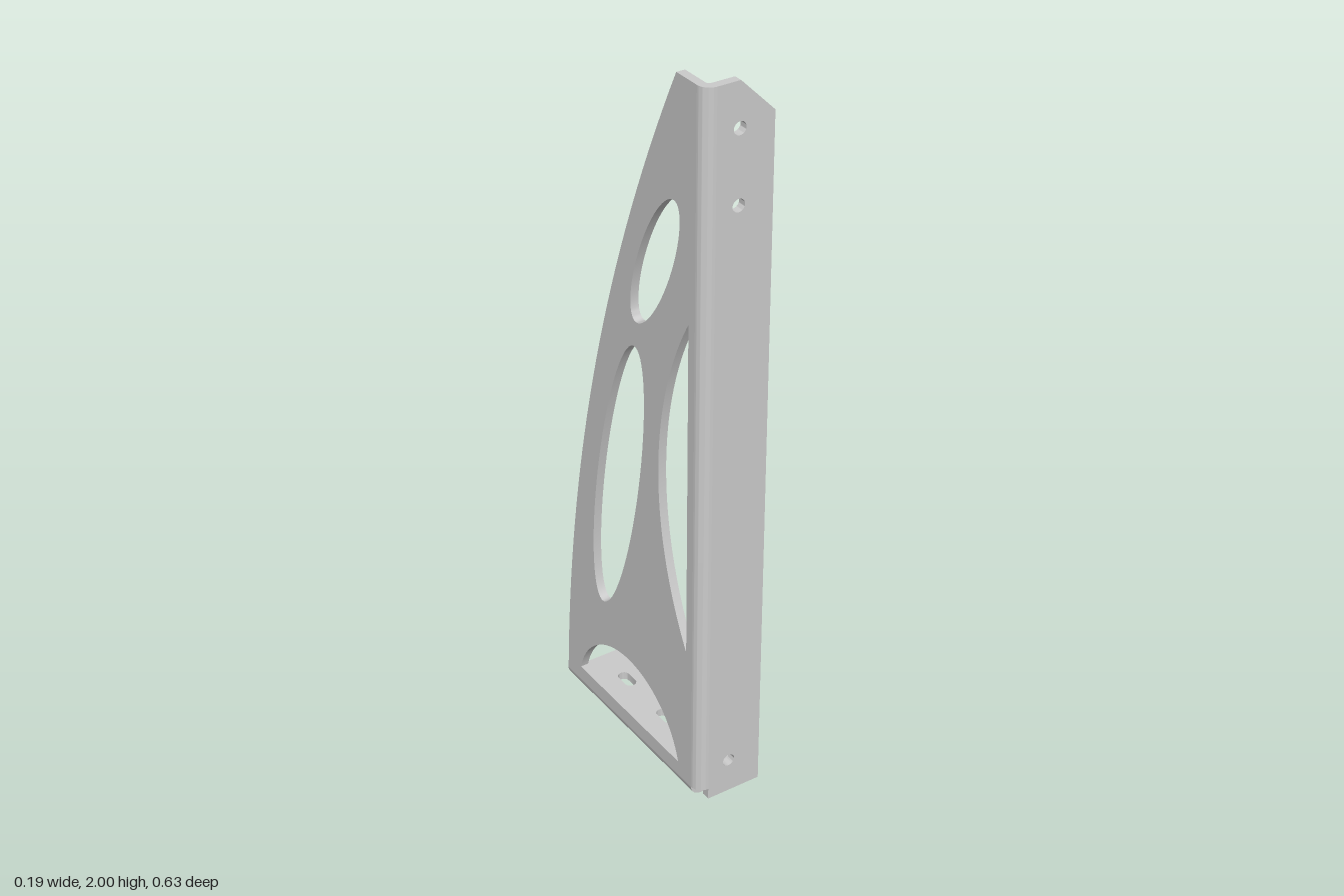
import * as THREE from 'three';
import { toCreasedNormals } from 'three/addons/utils/BufferGeometryUtils.js';

const W = 0.094, D = 0.316, H = 2; // half width, half depth, height
const T = 0.023, R = 0.032;        // sheet thickness, outer bend radius
const GAP = 0.284;                 // z where the front bend starts

const material = new THREE.MeshStandardMaterial({ color: 0xcccccc });

function sheet(name, shape, depth) {
  const raw = new THREE.ExtrudeGeometry(shape, { depth, bevelEnabled: false, curveSegments: 32 });
  const mesh = new THREE.Mesh(toCreasedNormals(raw, 0.5), material);
  mesh.name = name;
  return mesh;
}

function polygon(points) {
  return new THREE.Shape(points.map(([x, y]) => new THREE.Vector2(x, y)));
}

function ellipseHole(x, y, rx, ry, tilt = 0) {
  const p = new THREE.Path();
  p.absellipse(x, y, rx, ry, 0, Math.PI * 2, false, tilt);
  return p;
}

// Circular segment: chord of half length h, bulging by s along direction dir
function segmentHole(x, y, h, s, dir) {
  const r = (h * h + s * s) / (2 * s), half = Math.asin(h / r);
  const p = new THREE.Path();
  p.absarc(x - Math.cos(dir) * (r - s), y - Math.sin(dir) * (r - s), r, dir - half, dir + half, false);
  p.closePath();
  return p;
}

function slotHole(x, y, r, straight) {
  const p = new THREE.Path();
  p.absarc(x, y + straight / 2, r, 0, Math.PI, false);
  p.absarc(x, y - straight / 2, r, Math.PI, Math.PI * 2, false);
  p.closePath();
  return p;
}

// Quarter ring cross-section of a sheet bend
function bendShape(x, y) {
  const s = new THREE.Shape();
  s.absarc(x, y, R, Math.PI, Math.PI * 1.5, false);
  s.absarc(x, y, R - T, Math.PI * 1.5, Math.PI, true);
  s.closePath();
  return s;
}

export function createModel() {
  const group = new THREE.Group();

  // Side web, drawn as (z, y), with a bowed rear edge and lightening holes
  const web = new THREE.Shape();
  web.moveTo(GAP, R);
  web.lineTo(GAP, H);
  web.lineTo(0.204, H);
  web.quadraticCurveTo(-0.268, 1.06, -D + 0.001, R);
  web.closePath();
  web.holes.push(
    ellipseHole(0.116, 1.487, 0.062, 0.214, -0.42),
    ellipseHole(-0.052, 0.794, 0.089, 0.434, -0.196),
    segmentHole(0.258, 0.919, 0.471, 0.126, Math.PI),
    segmentHole(-0.013, 0.074, 0.237, 0.18, Math.PI / 2)
  );
  const webMesh = sheet('sideWeb', web, T);
  webMesh.rotation.y = -Math.PI / 2;
  webMesh.position.x = -W + T;
  group.add(webMesh);

  // Front flange with a clipped top corner and screw holes
  const front = polygon([[-W + R, 0], [W, 0], [W, H - W], [0, H], [-W + R, H]]);
  for (const y of [0.1, 1.695, 1.885]) front.holes.push(ellipseHole(0, y, 0.017, 0.017));
  const frontMesh = sheet('frontFlange', front, T);
  frontMesh.position.z = D - T;
  group.add(frontMesh);

  // Bottom flange with slots, drawn as (x, -z)
  const foot = polygon([[-W + R, -GAP], [W, -GAP], [W, D], [-W + R, D]]);
  for (const z of [-0.19, 0, 0.19]) foot.holes.push(slotHole(0.016, z, 0.016, 0.032));
  const footMesh = sheet('bottomFlange', foot, T);
  footMesh.rotation.x = -Math.PI / 2;
  group.add(footMesh);

  // Bends joining the web to both flanges, leaving a relief notch at the corner
  const frontBend = sheet('frontBend', bendShape(-W + R, -GAP), H - R);
  frontBend.rotation.x = -Math.PI / 2;
  frontBend.position.y = R;
  const bottomBend = sheet('bottomBend', bendShape(-W + R, R), D + GAP);
  bottomBend.position.z = -D;
  group.add(frontBend, bottomBend);

  return group;
}
